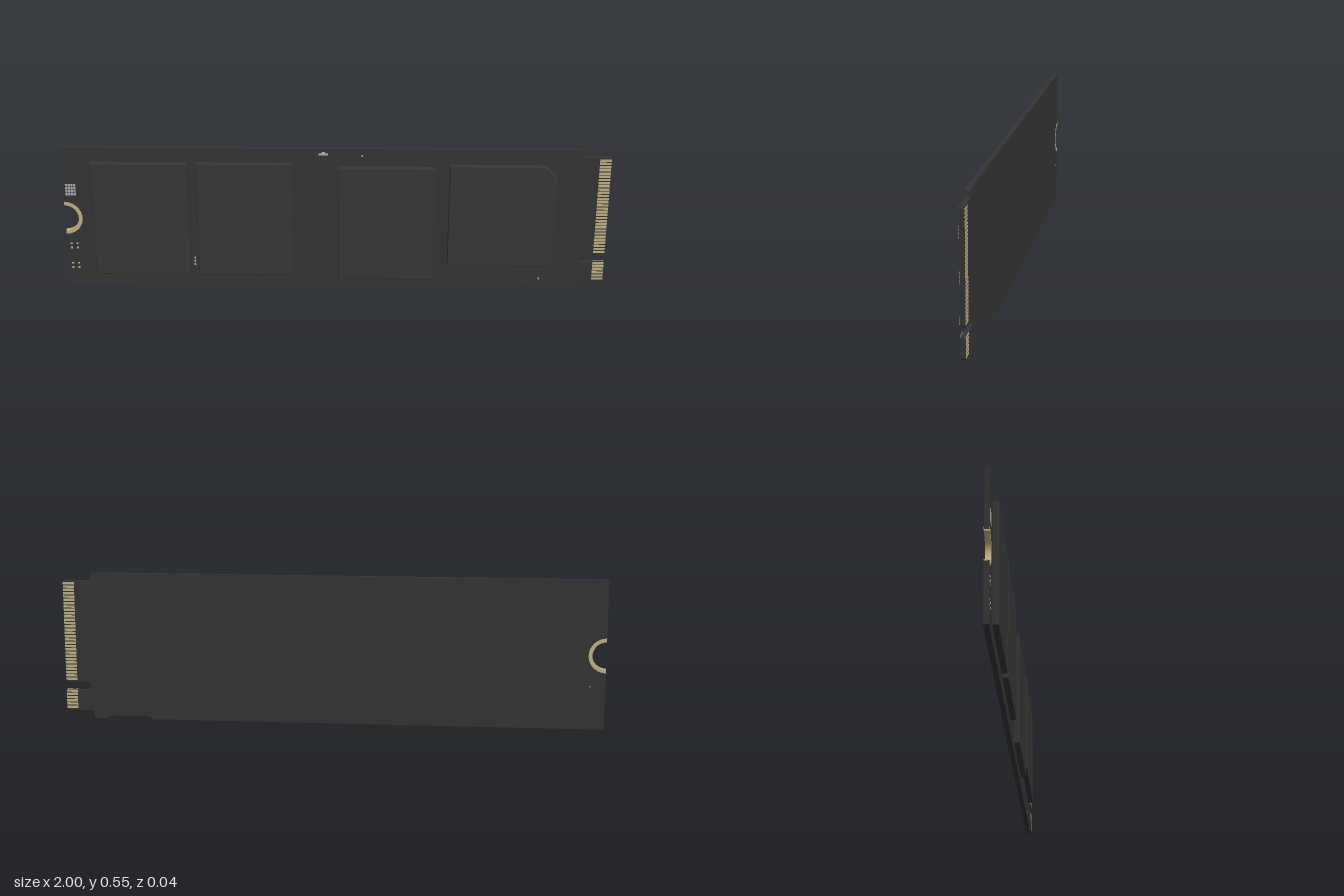
import * as THREE from 'three';

const mat = (name, color) => Object.assign(new THREE.MeshStandardMaterial({ color }), { name });

// Traces corners [x, y, radius] as a path with rounded corners
function trace(shape, pts, closed) {
  const n = pts.length;
  const toward = (p, q, r) => {
    const d = Math.hypot(q[0] - p[0], q[1] - p[1]);
    return [p[0] + (q[0] - p[0]) * r / d, p[1] + (q[1] - p[1]) * r / d];
  };
  pts.forEach((p, i) => {
    const r = p[2] || 0;
    const a = r ? toward(p, pts[(i + n - 1) % n], r) : p;
    if (i) shape.lineTo(a[0], a[1]); else shape.moveTo(a[0], a[1]);
    if (r) {
      const b = toward(p, pts[(i + 1) % n], r);
      shape.quadraticCurveTo(p[0], p[1], b[0], b[1]);
    }
  });
  if (closed) shape.closePath();
  return shape;
}

export function createModel() {
  const group = new THREE.Group();
  const boardMat = mat('board black', 0x343434);
  const chipMat = mat('chip black', 0x363636);
  const goldMat = mat('contact gold', 0xc2b283);
  const silverMat = mat('solder grey', 0xb0b0b0);
  const add = (name, geo, material, x = 0, y = 0, z = 0, parent = group) => {
    const m = new THREE.Mesh(geo, material);
    m.name = name;
    m.position.set(x, y, z);
    parent.add(m);
    return m;
  };
  const T = 0.018, holeY = 0.275;

  // Circuit board with keyed edge connector and half-round screw notch
  const outline = trace(new THREE.Shape(), [
    [-1, holeY - 0.055], [-1, 0, 0.006], [0.675, 0, 0.004], [0.685, 0.011, 0.004],
    [0.84, 0.011, 0.004], [0.85, 0, 0.004], [0.895, 0, 0.008], [0.895, 0.03, 0.006],
    [1, 0.03, 0.01], [1, 0.107, 0.008], [0.905, 0.107, 0.013], [0.905, 0.138, 0.013],
    [1, 0.138, 0.008], [1, 0.523, 0.01], [0.897, 0.523, 0.006], [0.895, 0.552, 0.01],
    [-1, 0.552, 0.006], [-1, holeY + 0.055],
  ]);
  outline.absarc(-1, holeY, 0.055, Math.PI / 2, -Math.PI / 2, true);
  add('circuitBoard', new THREE.ExtrudeGeometry(outline, { depth: T, bevelEnabled: false, curveSegments: 12 }),
    boardMat, 0, 0, -T);

  // Plated half ring lining the screw notch
  const ring = new THREE.Shape();
  ring.absarc(0, 0, 0.064, -Math.PI / 2, Math.PI / 2, false);
  ring.absarc(0, 0, 0.05, Math.PI / 2, -Math.PI / 2, true);
  add('screwRing', new THREE.ExtrudeGeometry(ring, { depth: T + 0.001, bevelEnabled: false, curveSegments: 24 }),
    goldMat, -1, holeY, -T - 0.0005);

  // Memory and controller packages: slightly bevelled slabs
  const chip = (name, x0, x1, y0, y1, cut = 0) => {
    const b = 0.004, l = x0 + b, r = x1 - b, d = y0 + b, u = y1 - b;
    const corners = cut
      ? [[l, d], [r, d], [r, u - cut, 0.02], [r - cut, u, 0.02], [l, u]]
      : [[l, d], [r, d], [r, u], [l, u]];
    const geo = new THREE.ExtrudeGeometry(trace(new THREE.Shape(), corners, true),
      { depth: 0.016, bevelThickness: b, bevelSize: b, bevelSegments: 2, curveSegments: 6 });
    add(name, geo, chipMat);
  };
  chip('memoryChipOuter', -0.893, -0.541, 0.055, 0.498);
  chip('memoryChipInner', -0.51, -0.158, 0.055, 0.498);
  chip('cacheChip', 0.01, 0.361, 0.04, 0.485);
  chip('controllerChip', 0.415, 0.803, 0.097, 0.494, 0.038);

  // Gold contact fingers on both faces, either side of the key
  const fingers = new THREE.Group();
  fingers.name = 'contactFingers';
  group.add(fingers);
  const pitch = 0.0125;
  const padGeo = new THREE.BoxGeometry(0.042, 0.009, 0.001);
  for (const [start, count] of [[0.0415, 6], [0.15, 30]])
    for (let i = 0; i < count; i++)
      for (const z of [0.0002, -T - 0.0002])
        add('contactFinger', padGeo, goldMat, 0.978, start + i * pitch, z, fingers);

  // Small solder pads and a dotted square mark
  const details = new THREE.Group();
  details.name = 'solderDetails';
  group.add(details);
  const pad = (x, y, w, h, z = 0.0005) =>
    add('solderPad', new THREE.BoxGeometry(w, h, 0.002), silverMat, x, y, z, details);
  for (let i = 0; i < 4; i++)
    for (let j = 0; j < 4; j++)
      pad(-0.988 + i * 0.01, 0.37 + j * 0.012, 0.008, 0.009);
  for (const y of [0.155, 0.172, 0.075, 0.093])
    for (const x of [-0.984, -0.962]) pad(x, y, 0.008, 0.006);
  pad(-0.045, 0.53, 0.035, 0.007);
  pad(-0.045, 0.537, 0.012, 0.006);
  pad(0.097, 0.526, 0.006, 0.008);
  for (let i = 0; i < 3; i++) pad(-0.525, 0.09 + i * 0.014, 0.006, 0.008);
  pad(0.76, 0.04, 0.006, 0.006);
  pad(-0.945, 0.16, 0.005, 0.006, -T - 0.0005);

  return group;
}
